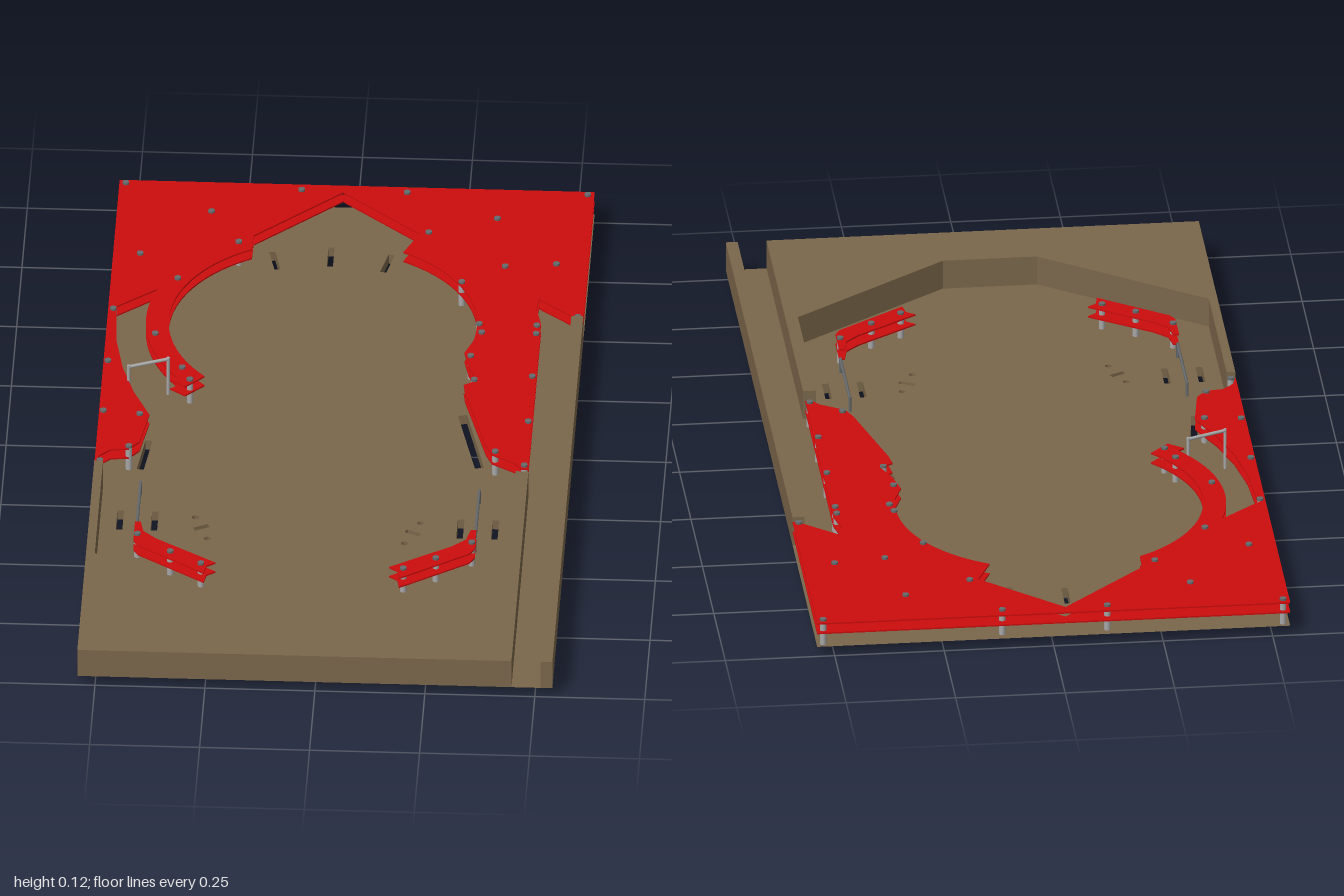
import * as THREE from 'three';

const wood = new THREE.MeshStandardMaterial({ name: 'wood', color: 0x7b674b, side: THREE.DoubleSide });
const red = new THREE.MeshStandardMaterial({ name: 'redPlastic', color: 0xcc0c0c });
const steel = new THREE.MeshStandardMaterial({ name: 'steel', color: 0xa8a8a8 });
const dark = new THREE.MeshStandardMaterial({ name: 'darkSteel', color: 0x666a6c });

const FLOOR = 0.024, WALL_TOP = 0.094, AXIS = -0.048;
const SHEETS = [0.059, 0.083]; // top heights of the two plastic layers

const mirrorX = x => 2 * AXIS - x;
const toShape = pts => new THREE.Shape(pts.map(p => new THREE.Vector2(...p)));

// Upright slab from a plan drawn in x and z
function slab(shape, top, depth) {
  const g = new THREE.ExtrudeGeometry(shape, { depth, bevelEnabled: false, curveSegments: 32 });
  return g.rotateX(Math.PI / 2).translate(0, top, 0);
}

// Plan of a straight slot from a to b
function slotPlan([x1, z1, x2, z2, w]) {
  const l = Math.hypot(x2 - x1, z2 - z1);
  const nx = -(z2 - z1) / l * w / 2, nz = (x2 - x1) / l * w / 2;
  return [[x1 + nx, z1 + nz], [x2 + nx, z2 + nz], [x2 - nx, z2 - nz], [x1 - nx, z1 - nz]];
}

function circlePlan(x, z, r, n = 12) {
  return Array.from({ length: n }, (_, i) => {
    const a = i / n * Math.PI * 2;
    return [x + r * Math.cos(a), z + r * Math.sin(a)];
  });
}

// Open wall around a cutout, hanging below the floor
function wallStrip(pts) {
  const pos = [];
  pts.forEach(([x, z], i) => {
    const [u, v] = pts[(i + 1) % pts.length];
    pos.push(x, 0, z, x, FLOOR, z, u, FLOOR, v, x, 0, z, u, FLOOR, v, u, 0, v);
  });
  const g = new THREE.BufferGeometry();
  g.setAttribute('position', new THREE.Float32BufferAttribute(pos, 3));
  g.computeVertexNormals();
  return g;
}

// Round bar between two points
function bar(a, b, r) {
  const p = new THREE.Vector3(...a), q = new THREE.Vector3(...b);
  const d = q.clone().sub(p);
  const g = new THREE.CylinderGeometry(r, r, d.length(), 10);
  g.applyQuaternion(new THREE.Quaternion().setFromUnitVectors(new THREE.Vector3(0, 1, 0), d.normalize()));
  return g.translate((p.x + q.x) / 2, (p.y + q.y) / 2, (p.z + q.z) / 2);
}

export function createModel() {
  const model = new THREE.Group();
  model.name = 'pinballPlayfield';
  const add = (name, geometry, material, parent = model) => {
    const m = new THREE.Mesh(geometry, material);
    m.name = name;
    parent.add(m);
    return m;
  };

  // Floor cutouts: rollover lanes, flipper pivots and target banks
  const cutouts = [
    [-0.05, -0.83, -0.05, -0.75, 0.014], [-0.184, -0.805, -0.168, -0.732, 0.014],
    [0.088, -0.805, 0.072, -0.732, 0.014], [0.235, -0.85, 0.175, -0.875, 0.016],
    [-0.475, 0.3, -0.475, 0.38, 0.015], [-0.396, 0.3, -0.396, 0.38, 0.015],
    [0.299, 0.3, 0.299, 0.38, 0.015], [0.378, 0.3, 0.378, 0.38, 0.015],
    [-0.425, 0.002, -0.439, 0.124, 0.016], [0.281, -0.138, 0.33, 0.082, 0.021],
  ].map(slotPlan);
  for (const f of [x => x, mirrorX]) {
    cutouts.push(slotPlan([f(-0.305), 0.37, f(-0.272), 0.353, 0.013]));
    cutouts.push(circlePlan(f(-0.304), 0.32, 0.008), circlePlan(f(-0.272), 0.407, 0.008));
  }
  const floor = toShape([[-0.54, -1], [0.54, -1], [0.54, 1], [-0.54, 1]]);
  floor.holes = cutouts.map(toShape);
  add('playfieldFloor', new THREE.ShapeGeometry(floor).rotateX(Math.PI / 2).translate(0, FLOOR, 0), wood);
  cutouts.forEach(c => add('cutoutWall', wallStrip(c), wood));

  // Apron block with its angled inner wall, and the launch lane rail
  const apron = toShape([[-0.54, 0.2], [-0.52, 0.2], [-0.52, 0.59], [-0.155, 0.852], [0.06, 0.852],
    [0.418, 0.59], [0.418, 0.2], [0.447, 0.2], [0.447, 1], [-0.54, 1]]);
  add('apron', slab(apron, WALL_TOP, WALL_TOP - FLOOR), wood);
  const rail = toShape([[0.513, -0.46], [0.54, -0.46], [0.54, 1], [0.513, 1]]);
  add('launchLaneRail', slab(rail, WALL_TOP, WALL_TOP - FLOOR), wood);

  // Rear plastic wrapping around the circular orbit
  const rear = toShape([[-0.54, -1], [0.54, -1], [0.54, -0.46], [0.515, -0.475], [0.436, -0.543],
    [0.432, -0.5], [0.445, -0.44], [0.445, 0.172], [0.43, 0.172], [0.415, 0.15], [0.36, 0.115],
    [0.345, 0.08], [0.287, -0.14], [0.282, -0.175], [0.312, -0.195], [0.29, -0.25], [0.277, -0.31]]);
  rear.absarc(-0.05, -0.42, 0.35, 0.17, -1.07, true);
  [[0.152, -0.805], [-0.03, -0.972], [-0.225, -0.78]].forEach(p => rear.lineTo(...p));
  rear.absarc(-0.05, -0.42, 0.35, -2.097, -3.886, true);
  rear.lineTo(-0.35, -0.138);
  rear.lineTo(-0.385, -0.165);
  rear.absarc(-0.05, -0.42, 0.402, 2.493, 3.458, false);
  rear.lineTo(-0.53, -0.46);
  rear.lineTo(-0.54, -0.46);

  // Left lane plastic and the pair of slingshot plastics
  const leftLane = toShape([[-0.54, -0.46], [-0.522, -0.46], [-0.514, -0.32], [-0.495, -0.21], [-0.465, -0.11],
    [-0.425, -0.015], [-0.442, 0.1], [-0.465, 0.13], [-0.505, 0.135], [-0.53, 0.16], [-0.54, 0.195]]);
  const sling = [[-0.436, 0.435], [-0.423, 0.435], [-0.415, 0.475], [-0.385, 0.505], [-0.245, 0.6],
    [-0.265, 0.615], [-0.27, 0.645], [-0.425, 0.535], [-0.436, 0.515]];
  const plastics = {
    rearPlastic: rear,
    leftLanePlastic: leftLane,
    leftSlingshot: toShape(sling),
    rightSlingshot: toShape(sling.map(([x, z]) => [mirrorX(x), z])),
  };
  for (const [name, shape] of Object.entries(plastics))
    for (const y of SHEETS) add(name, slab(shape, y, 0.0035), red);

  // Posts holding the plastics, each with a small cap nut
  const posts = [[-0.525, -0.985], [-0.125, -0.975], [0.115, -0.975], [0.525, -0.985], [-0.325, -0.875],
    [0.325, -0.875], [-0.257, -0.75], [-0.478, -0.69], [0.172, -0.81], [0.352, -0.675], [0.468, -0.69],
    [-0.388, -0.59], [0.257, -0.605], [0.527, -0.47], [-0.528, -0.455], [0.305, -0.43], [0.436, -0.43],
    [0.312, -0.395], [0.436, -0.395], [-0.428, -0.355], [-0.53, -0.235], [-0.36, -0.215], [0.292, -0.295],
    [0.436, -0.215], [0.305, -0.195], [-0.53, -0.025], [-0.447, -0.015], [0.436, -0.025], [0.367, 0.105],
    [-0.465, 0.122], [-0.528, 0.185], [0.436, 0.16], [-0.34, -0.165]];
  for (const [x, z] of [[-0.428, 0.49], [-0.35, 0.56], [-0.278, 0.607]]) posts.push([x, z], [mirrorX(x), z]);
  const postGroup = new THREE.Group();
  postGroup.name = 'posts';
  model.add(postGroup);
  for (const [x, z] of posts) {
    add('post', bar([x, FLOOR, z], [x, 0.085, z], 0.0075), steel, postGroup);
    add('postCap', bar([x, 0.083, z], [x, 0.088, z], 0.0078), dark, postGroup);
  }

  // Bent wire guides above the slingshots and the lane gate
  const wire = (name, x1, z1, x2, z2, low, high, r, mat) => {
    const g = new THREE.Group();
    g.name = name;
    model.add(g);
    add('wireLeg', bar([x1, low, z1], [x1, high, z1], r), mat, g);
    add('wireLeg', bar([x2, low, z2], [x2, high, z2], r), mat, g);
    add('wireSpan', bar([x1, high - r, z1], [x2, high - r, z2], r), mat, g);
  };
  for (const x of [-0.433, mirrorX(-0.433)]) wire('laneGuideWire', x, 0.23, x, 0.435, 0.014, 0.06, 0.0035, dark);
  wire('laneGate', -0.479, -0.158, -0.391, -0.195, 0.015, 0.123, 0.004, steel);
  return model;
}
